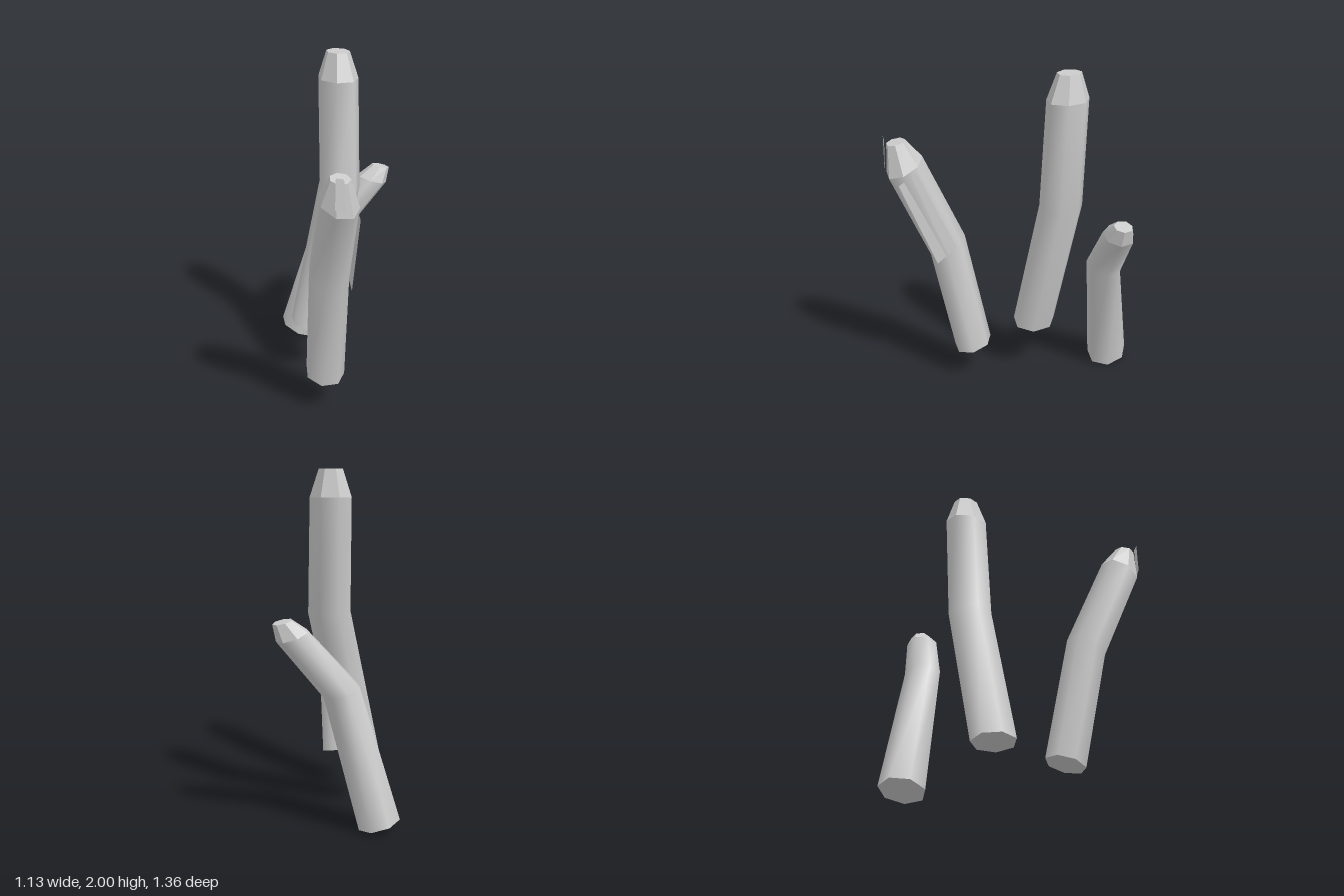
import * as THREE from 'three';

const SIDES = 7;
const material = new THREE.MeshStandardMaterial({ color: 0xcccccc, side: THREE.DoubleSide });
const flatMaterial = new THREE.MeshStandardMaterial({ color: 0xcccccc, side: THREE.DoubleSide, flatShading: true });

// Each ring: centre, direction it faces, half-width and half-depth
const posts = {
  tallPost: [
    { c: [-0.145, 0.335, -0.12], n: [0.2, 1, 0], r: [0.116, 0.139] },
    { c: [0.093, 1.2, -0.135], n: [0.14, 1, 0], r: [0.113, 0.139] },
    { c: [0.107, 1.845, -0.165], n: [0, 1, 0], r: [0.111, 0.132] },
    { c: [0.11, 2.0, -0.17], n: [0, 1, 0], r: [0.065, 0.075] },
  ],
  rightPost: [
    { c: [-0.31, 0.225, 0.24], n: [-0.05, 1, 0.25], r: [0.114, 0.119] },
    { c: [-0.373, 0.92, 0.363], n: [-0.05, 1, 0.5], r: [0.116, 0.122] },
    { c: [-0.463, 1.45, 0.575], n: [-0.05, 1, 0.47], r: [0.106, 0.12] },
    { c: [-0.483, 1.6, 0.61], n: [-0.05, 1, 0.2], r: [0.056, 0.056] },
  ],
  leftPost: [
    { c: [0.075, 0.045, -0.555], n: [0.3, 1, 0.2], r: [0.113, 0.135] },
    { c: [0.205, 0.79, -0.388], n: [0.29, 1, 0.12], r: [0.113, 0.1] },
    { c: [0.455, 1.11, -0.265], n: [0.33, 1, 0.08], r: [0.096, 0.09] },
    { c: [0.51, 1.19, -0.247], n: [0.25, 1, 0.05], r: [0.055, 0.055] },
  ],
};

// Points of one tilted seven-sided section
function ringPoints({ c, n, r }) {
  const normal = new THREE.Vector3(...n).normalize();
  const u = new THREE.Vector3(1, 0, 0).projectOnPlane(normal).normalize();
  const v = new THREE.Vector3().crossVectors(u, normal);
  return Array.from({ length: SIDES }, (_, j) => {
    const a = 0.1 + (j / SIDES) * Math.PI * 2;
    return new THREE.Vector3(...c)
      .addScaledVector(u, Math.sin(a) * r[0])
      .addScaledVector(v, Math.cos(a) * r[1]);
  });
}

// Skin joining successive sections
function loft(rings) {
  const index = [];
  for (let i = 0; i < rings.length - 1; i++) {
    for (let j = 0; j < SIDES; j++) {
      const k = (j + 1) % SIDES;
      const a = i * SIDES + j, b = i * SIDES + k;
      index.push(a, b, b + SIDES, a, b + SIDES, a + SIDES);
    }
  }
  const geometry = new THREE.BufferGeometry().setFromPoints(rings.flat());
  geometry.setIndex(index);
  geometry.computeVertexNormals();
  return geometry;
}

// Flat polygon fan
function polygon(points) {
  const geometry = new THREE.BufferGeometry().setFromPoints(points);
  const index = [];
  for (let j = 1; j < points.length - 1; j++) index.push(0, j, j + 1);
  geometry.setIndex(index);
  geometry.computeVertexNormals();
  return geometry;
}

function addMesh(parent, name, geometry, mat = material) {
  const mesh = new THREE.Mesh(geometry, mat);
  mesh.name = name;
  parent.add(mesh);
}

export function createModel() {
  const model = new THREE.Group();
  model.name = 'bentPosts';

  for (const [name, sections] of Object.entries(posts)) {
    const post = new THREE.Group();
    post.name = name;
    const rings = sections.map(ringPoints);
    addMesh(post, 'shaft', loft(rings.slice(0, 3)));
    addMesh(post, 'taperedTip', loft(rings.slice(2)), flatMaterial);
    addMesh(post, 'topCap', polygon(rings[3]));
    addMesh(post, 'bottomCap', polygon([...rings[0]].reverse()));
    model.add(post);
  }

  // Flat strip along the upper shaft and a small splinter at its tip
  const points = (list) => list.map((p) => new THREE.Vector3(...p));
  const rightPost = model.getObjectByName('rightPost');
  addMesh(rightPost, 'flatStrip', polygon(points([
    [-0.39, 1.37, 0.66], [-0.3, 0.86, 0.48], [-0.258, 0.95, 0.37], [-0.355, 1.44, 0.56],
  ])));
  addMesh(rightPost, 'splinter', polygon(points([
    [-0.55, 1.46, 0.655], [-0.5, 1.44, 0.68], [-0.505, 1.62, 0.67], [-0.545, 1.63, 0.655],
  ])));

  return model;
}
